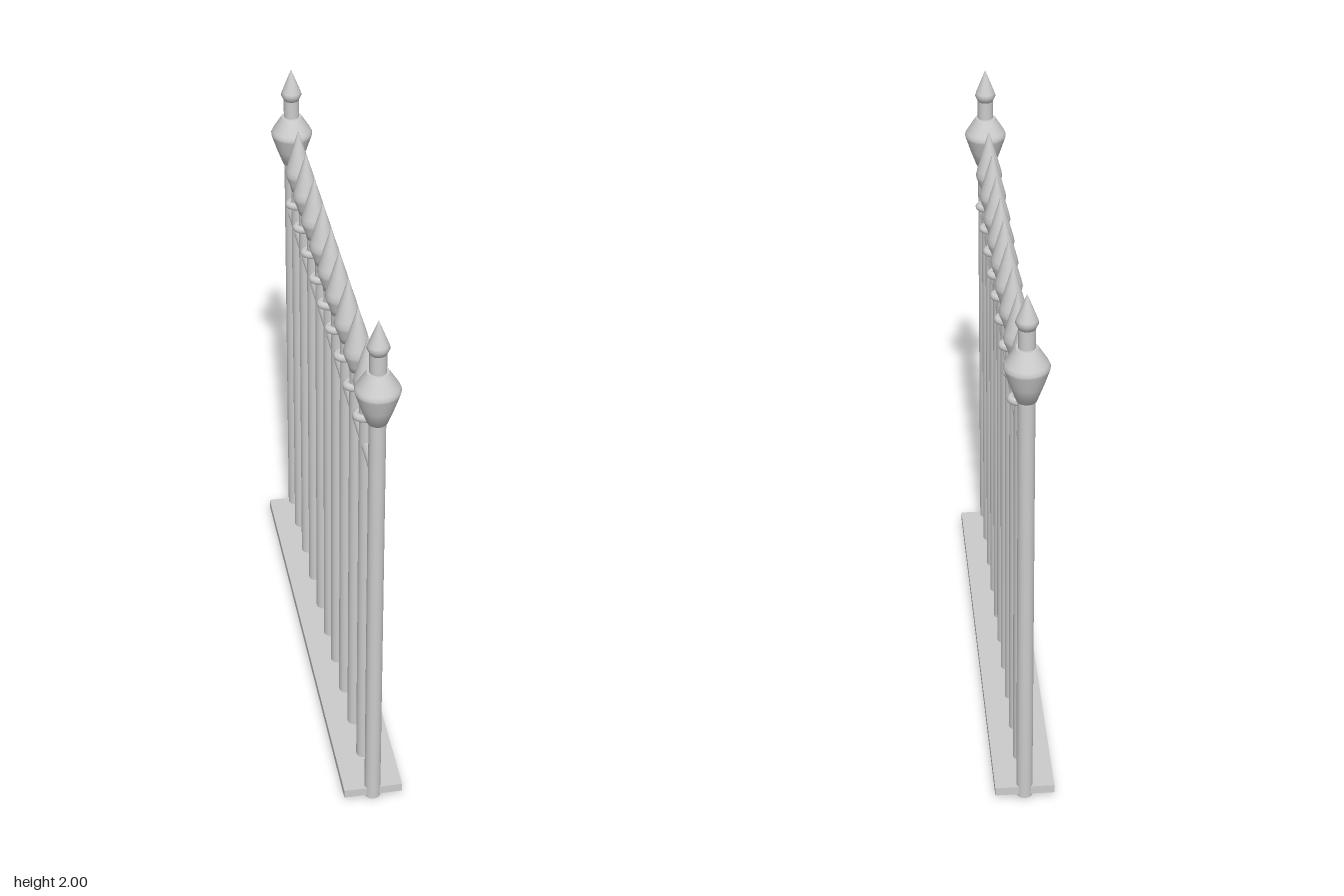
import * as THREE from 'three';

const material = new THREE.MeshStandardMaterial({ color: 0xcccccc });

function add(parent, name, geometry, x = 0, y = 0, z = 0) {
  const mesh = new THREE.Mesh(geometry, material);
  mesh.name = name;
  mesh.position.set(x, y, z);
  parent.add(mesh);
  return mesh;
}

// Upright cylinder between two heights
function pole(radius, bottom, top) {
  return new THREE.CylinderGeometry(radius, radius, top - bottom, 24)
    .translate(0, (top + bottom) / 2, 0);
}

// Turned shape from [radius, height] pairs, bottom to top
function turned(points) {
  return new THREE.LatheGeometry(points.map(([r, y]) => new THREE.Vector2(r, y)), 24);
}

export function createModel() {
  const fence = new THREE.Group();
  fence.name = 'fence';

  // Base slab and upper rail
  add(fence, 'base', new THREE.BoxGeometry(0.206, 0.032, 1.694), 0, 0.037, 0);
  const rail = new THREE.CylinderGeometry(0.021, 0.021, 1.604, 20).rotateX(Math.PI / 2);
  add(fence, 'rail', rail, 0, 1.418, 0.008);

  // Pickets with a collar ring and a spear head
  const shaft = pole(0.027, 0, 1.6);
  const collar = new THREE.TorusGeometry(0.036, 0.014, 12, 28)
    .rotateX(Math.PI / 2).scale(1, 1, 0.7);
  const spear = turned([[0, 1.59], [0.027, 1.59], [0.032, 1.612], [0.044, 1.645],
    [0.048, 1.66], [0.044, 1.68], [0.024, 1.754], [0, 1.833]]);
  for (const z of [0.665, 0.492, 0.319, 0.152, -0.002, -0.165, -0.338, -0.511, -0.677]) {
    const picket = new THREE.Group();
    picket.name = 'picket';
    picket.position.z = z;
    add(picket, 'shaft', shaft);
    add(picket, 'collar', collar, 0, 1.533, 0);
    add(picket, 'spearHead', spear);
    fence.add(picket);
  }

  // Taller end posts with a bulb, neck and small spear tip
  const postShaft = pole(0.028, 0.01, 1.89);
  const bulb = turned([[0, 1.62], [0.033, 1.62], [0.055, 1.68], [0.073, 1.735],
    [0.075, 1.745], [0.07, 1.757], [0.036, 1.812]]);
  const bulbTop = new THREE.CircleGeometry(0.036, 24).rotateX(-Math.PI / 2);
  const tip = turned([[0, 1.88], [0.028, 1.88], [0.037, 1.9], [0.034, 1.912], [0, 2]]);
  for (const z of [0.83, -0.828]) {
    const post = new THREE.Group();
    post.name = 'endPost';
    post.position.z = z;
    add(post, 'postShaft', postShaft);
    add(post, 'bulb', bulb);
    add(post, 'bulbTop', bulbTop, 0, 1.812, 0);
    add(post, 'postTip', tip);
    fence.add(post);
  }
  return fence;
}
